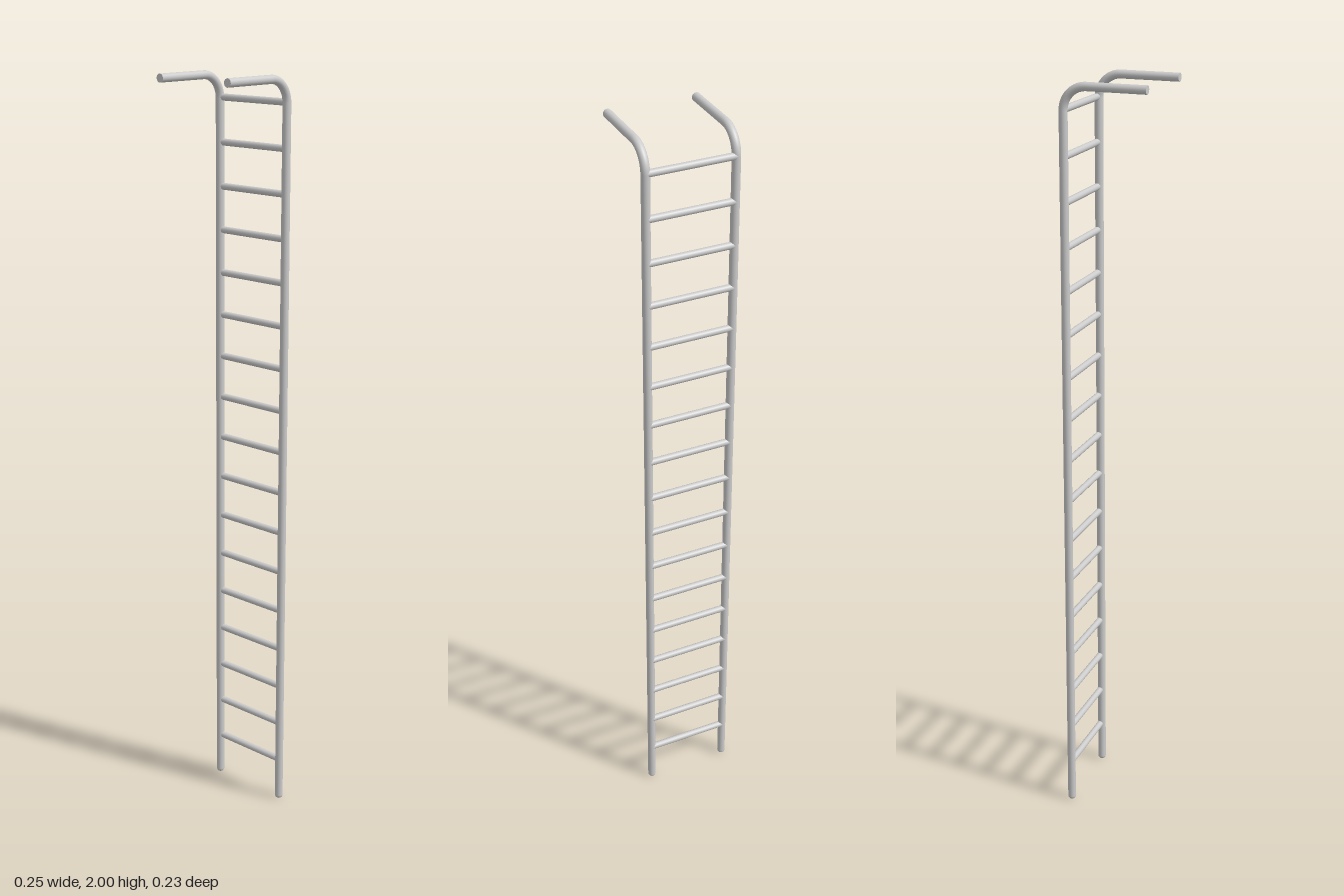
import * as THREE from 'three';

const RAIL_X = 0.113, RAIL_Z = -0.102, RAIL_R = 0.011;
const TOP_Y = 1.989, BEND_R = 0.06, FRONT_Z = 0.113;
const RUNGS = 17, RUNG_R = 0.009, FIRST_Y = 0.121, LAST_Y = 1.931;

const material = new THREE.MeshStandardMaterial({ color: 0xcccccc });

function part(name, geometry, x, y, z) {
  const mesh = new THREE.Mesh(geometry, material);
  mesh.name = name;
  mesh.position.set(x, y, z);
  return mesh;
}

// Upright tube with a rounded foot, a quarter bend and a forward handle
function rail(name, x) {
  const group = new THREE.Group();
  group.name = name;
  const bendY = TOP_Y - BEND_R, bendZ = RAIL_Z + BEND_R;
  const uprightLength = bendY - RAIL_R, handleLength = FRONT_Z - bendZ;

  const upright = new THREE.CylinderGeometry(RAIL_R, RAIL_R, uprightLength, 20, 1, true);
  const foot = new THREE.SphereGeometry(RAIL_R, 20, 8, 0, Math.PI * 2, Math.PI / 2, Math.PI / 2);
  const bend = new THREE.TorusGeometry(BEND_R, RAIL_R, 20, 14, Math.PI / 2).rotateY(Math.PI / 2);
  const handle = new THREE.CylinderGeometry(RAIL_R, RAIL_R, handleLength, 20).rotateX(Math.PI / 2);

  group.add(
    part('upright', upright, x, RAIL_R + uprightLength / 2, RAIL_Z),
    part('foot', foot, x, RAIL_R, RAIL_Z),
    part('bend', bend, x, bendY, bendZ),
    part('handle', handle, x, TOP_Y, bendZ + handleLength / 2)
  );
  return group;
}

export function createModel() {
  const model = new THREE.Group();
  model.name = 'ladder';
  model.add(rail('leftRail', RAIL_X), rail('rightRail', -RAIL_X));

  // Evenly spaced rungs running between the rails
  const rung = new THREE.CylinderGeometry(RUNG_R, RUNG_R, RAIL_X * 2, 16, 1, true).rotateZ(Math.PI / 2);
  for (let i = 0; i < RUNGS; i++) {
    const y = THREE.MathUtils.lerp(FIRST_Y, LAST_Y, i / (RUNGS - 1));
    model.add(part(`rung${i + 1}`, rung, 0, y, RAIL_Z - 0.002));
  }
  return model;
}
